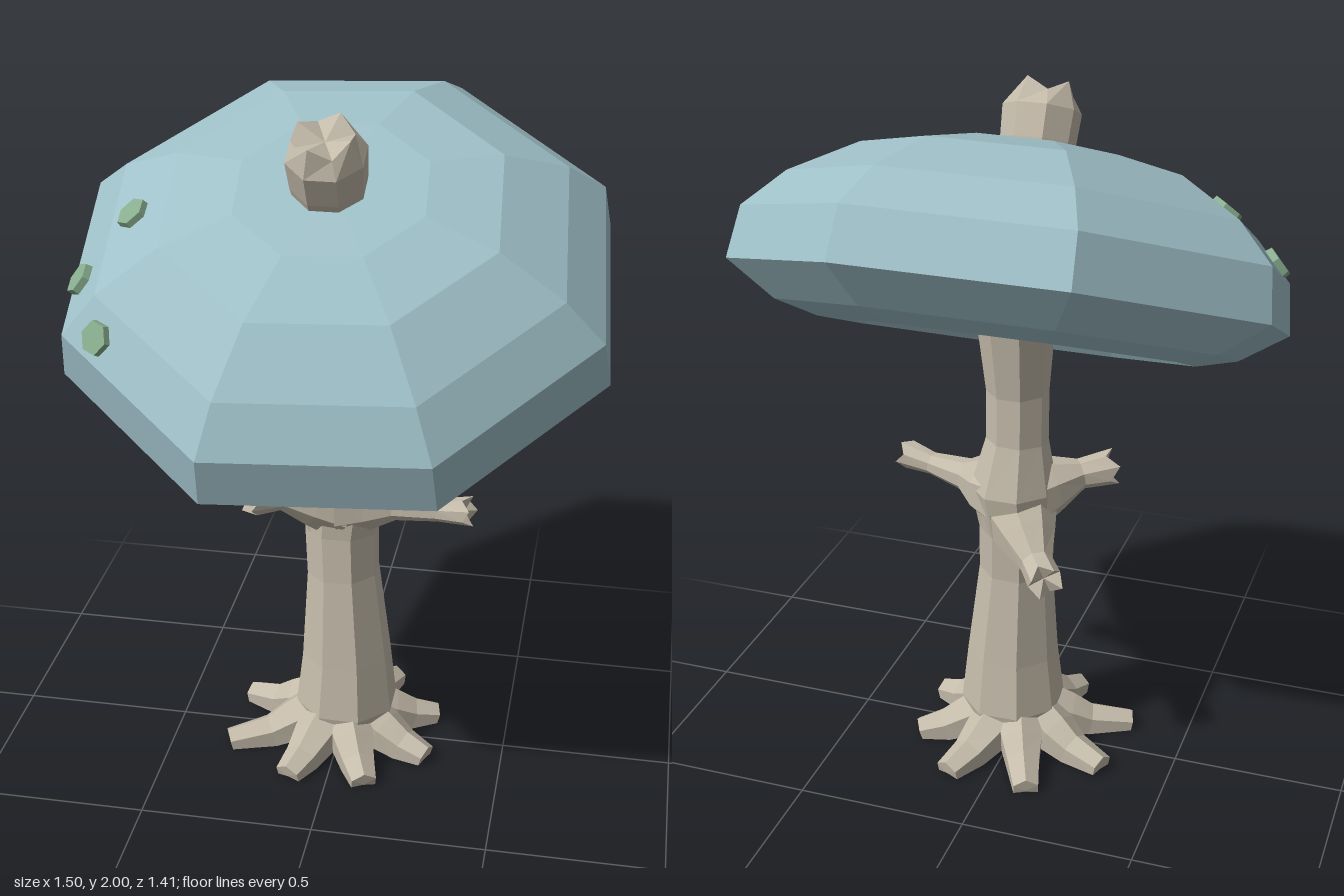
import * as THREE from 'three';

const mat = (color) => new THREE.MeshStandardMaterial({ color, flatShading: true });
const wood = mat(0xc4bbaa), blue = mat(0x9fc0c8), green = mat(0x88ad8e);
const rad = THREE.MathUtils.degToRad;

// Faceted limb through rings [x, y, z, radius]; jag breaks the end into a sunken star
function limb(name, rings, sides, jag = 0, ref = new THREE.Vector3(0, 1, 0)) {
  const P = rings.map((r) => new THREE.Vector3(r[0], r[1], r[2]));
  const last = P.length - 1, pos = [], index = [];
  const put = (v) => pos.push(v.x, Math.max(0, v.y), v.z);
  let t;
  P.forEach((p, i) => {
    t = P[Math.min(i + 1, last)].clone().sub(P[Math.max(i - 1, 0)]).normalize();
    const u = ref.clone().cross(t).normalize(), v = t.clone().cross(u);
    for (let j = 0; j < sides; j++) {
      const a = ((j + 0.5) / sides) * Math.PI * 2, r = rings[i][3];
      const q = p.clone().addScaledVector(u, r * Math.cos(a)).addScaledVector(v, r * Math.sin(a));
      if (i === last) q.addScaledVector(t, j % 2 ? jag : -jag);
      put(q);
    }
  });
  put(P[0]);
  put(P[last].clone().addScaledVector(t, -jag * 1.2));
  const start = P.length * sides;
  for (let j = 0; j < sides; j++) {
    const k = (j + 1) % sides;
    for (let i = 0; i < last; i++) {
      const a = i * sides + j, b = i * sides + k;
      index.push(a, b, b + sides, a, b + sides, a + sides);
    }
    index.push(k, j, start, last * sides + j, last * sides + k, start + 1);
  }
  const g = new THREE.BufferGeometry();
  g.setAttribute('position', new THREE.Float32BufferAttribute(pos, 3));
  g.setIndex(index);
  g.computeVertexNormals();
  const m = new THREE.Mesh(g, wood);
  m.name = name;
  return m;
}

export function createModel() {
  const model = new THREE.Group();
  model.name = 'capTree';

  // Trunk, bending forward under the canopy
  model.add(limb('trunk', [
    [0.01, 0, 0, 0.13], [0.015, 0.13, 0, 0.155], [0.015, 0.3, 0, 0.135], [0.005, 0.58, 0, 0.108],
    [0, 0.72, -0.005, 0.11], [0.01, 0.85, -0.01, 0.125], [0, 1.0, -0.005, 0.09], [0, 1.15, 0, 0.09],
    [0, 1.36, -0.015, 0.11], [0, 1.55, 0.05, 0.09], [0, 1.76, 0.13, 0.08],
  ], 8, 0, new THREE.Vector3(0, 0, 1)));

  // Spreading roots with blunt ends
  const roots = new THREE.Group();
  roots.name = 'roots';
  [0.31, 0.31, 0.31, 0.36, 0.34, 0.34, 0.33, 0.31].forEach((len, i) => {
    const a = rad(22.5 + 45 * i), c = Math.cos(a), s = Math.sin(a);
    const at = (d, y, r) => [c * d, y, s * d, r];
    roots.add(limb('root', [
      at(0.07, 0.09, 0.08), at(0.15, 0.055, 0.07), at(0.22, 0.025, 0.055), at(len - 0.01, 0.008, 0.042),
    ], 6));
  });
  model.add(roots);

  // Broken branches flaring into the trunk
  model.add(limb('leftBranch', [
    [0.02, 0.83, 0, 0.13], [0.1, 0.83, 0.015, 0.095], [0.17, 0.832, 0.04, 0.05],
    [0.29, 0.837, 0.07, 0.033], [0.38, 0.85, 0.085, 0.043],
  ], 8, 0.012));
  model.add(limb('rightBranch', [
    [-0.02, 0.82, 0.01, 0.12], [-0.09, 0.84, 0.055, 0.085], [-0.16, 0.86, 0.1, 0.045],
    [-0.235, 0.87, 0.15, 0.053],
  ], 8, 0.016));
  model.add(limb('backBranch', [
    [-0.01, 0.77, -0.02, 0.12], [-0.06, 0.73, -0.09, 0.085], [-0.11, 0.69, -0.16, 0.048],
    [-0.16, 0.68, -0.235, 0.05],
  ], 8, 0.016));

  // Tilted hollow canopy
  const canopy = new THREE.Group();
  canopy.name = 'canopy';
  canopy.position.set(0, 1.43, -0.02);
  canopy.rotation.x = rad(24.5);
  const profile = [
    [0, 0.3], [0.53, -0.12], [0.65, -0.09], [0.79, 0], [0.77, 0.145],
    [0.66, 0.255], [0.475, 0.36], [0.27, 0.405], [0, 0.412],
  ].map(([r, y]) => new THREE.Vector2(r, y));
  const cap = new THREE.Mesh(new THREE.LatheGeometry(profile, 8, rad(71.5)), blue);
  cap.name = 'cap';
  canopy.add(cap);

  // Stump poking through the top
  canopy.add(limb('topStump', [
    [-0.005, 0.33, 0, 0.09], [-0.005, 0.43, 0, 0.105], [-0.005, 0.52, 0, 0.11], [-0.005, 0.58, 0, 0.08],
  ], 8, 0.016, new THREE.Vector3(0, 0, 1)));

  // Hexagonal spots: x, y, z on the cap, heading and outward lean of the facet they lie on
  [
    [-0.54, 0.3, 0.034, 176, 0.53], [-0.67, 0.185, 0.177, 176, 0.74], [-0.57, 0.195, 0.39, 131, 0.74],
  ].forEach(([x, y, z, az, lean]) => {
    const spot = new THREE.Mesh(new THREE.CylinderGeometry(0.046, 0.05, 0.03, 6), green);
    spot.name = 'spot';
    spot.position.set(x, y, z);
    const n = new THREE.Vector3(Math.cos(rad(az)) * lean, Math.sqrt(1 - lean * lean), Math.sin(rad(az)) * lean);
    spot.quaternion.setFromUnitVectors(new THREE.Vector3(0, 1, 0), n);
    canopy.add(spot);
  });
  model.add(canopy);
  return model;
}
